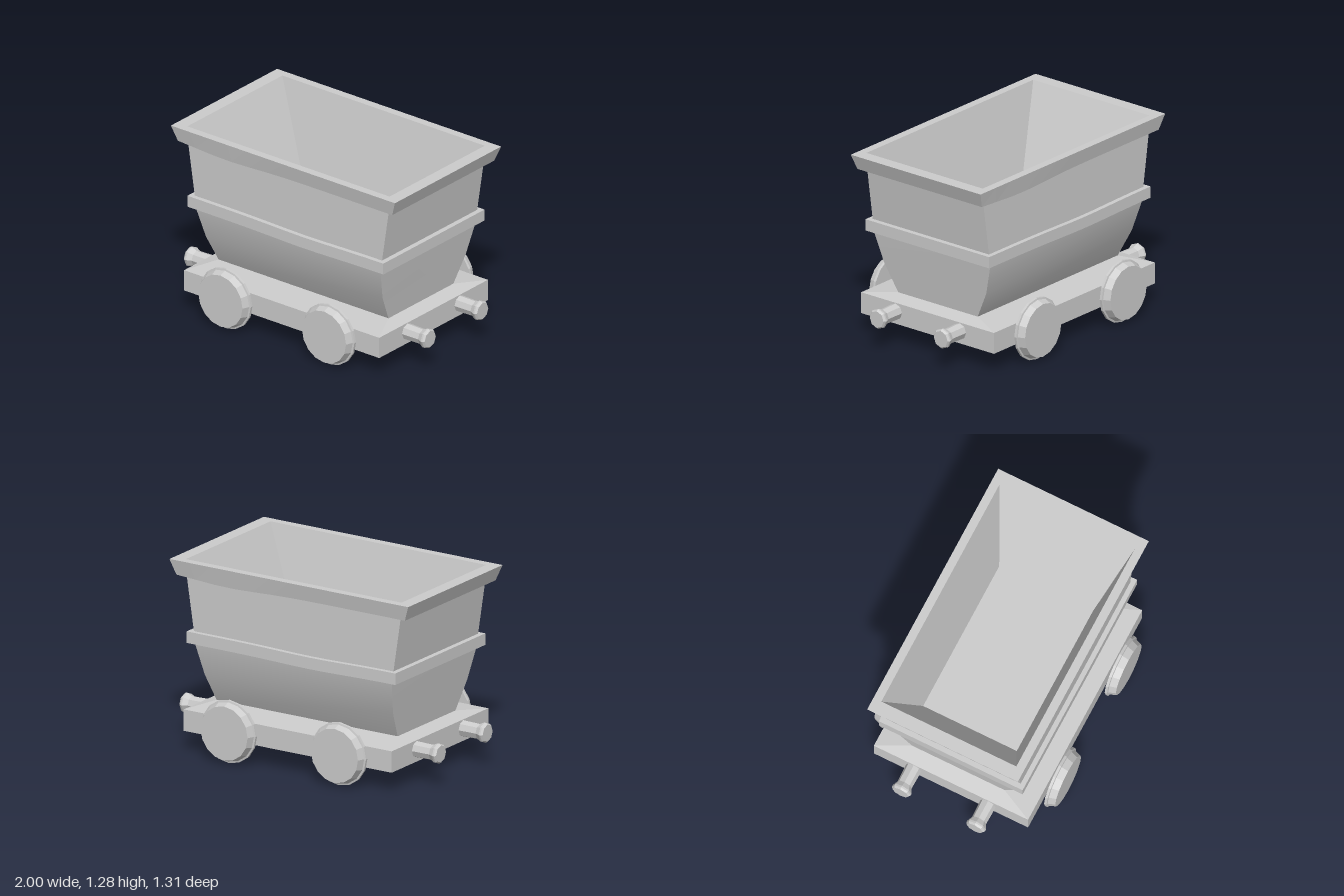
import * as THREE from 'three';
import { mergeGeometries } from 'three/addons/utils/BufferGeometryUtils.js';

const material = new THREE.MeshStandardMaterial({ color: 0xcccccc });
const flatMaterial = new THREE.MeshStandardMaterial({ color: 0xcccccc, flatShading: true });

// Rectangular loft: levels are [y, half width x, half depth z], listed so the
// surface faces outward. wave(x, level) bends the two long sides up and down.
function loft(levels, { wave = () => 0, segments = 1, smooth = false } = {}) {
  const sides = [];
  for (let k = 0; k < 4; k++) {
    const long = k % 2 === 0;
    const n = long ? segments : 1;
    const positions = [], index = [];
    levels.forEach(([y, hx, hz], j) => {
      const along = long ? hx : hz, out = long ? hz : hx;
      for (let i = 0; i <= n; i++) {
        const t = (i / n) * 2 - 1;
        const dy = long ? wave(t * along, j) * (1 - t ** 6) : 0;
        positions.push(t * along, y + dy, out);
      }
    });
    for (let j = 0; j < levels.length - 1; j++) {
      for (let i = 0; i < n; i++) {
        const a = j * (n + 1) + i, b = a + 1, d = a + n + 1, c = d + 1;
        index.push(a, b, c, a, c, d);
      }
    }
    let side = new THREE.BufferGeometry();
    side.setAttribute('position', new THREE.Float32BufferAttribute(positions, 3));
    side.setIndex(index);
    side.rotateY(k * Math.PI / 2);
    if (!smooth) side = side.toNonIndexed();
    side.computeVertexNormals();
    sides.push(side);
  }
  return mergeGeometries(sides);
}

// Solid of revolution around +y from [radius, height] pairs
function turned(profile, sides) {
  return new THREE.LatheGeometry(profile.map(([r, h]) => new THREE.Vector2(r, h)), sides);
}

export function createModel() {
  const model = new THREE.Group();
  const add = (name, geometry, mat = material) => {
    const mesh = new THREE.Mesh(geometry, mat);
    mesh.name = name;
    model.add(mesh);
    return mesh;
  };
  const dip = (x, centre, depth) => -depth * Math.exp(-(((x - centre) / 0.35) ** 2));

  // Chassis with a gently sloping top
  add('chassis', loft([
    [0.14, 0, 0], [0.14, 0.81, 0.56], [0.285, 0.81, 0.56], [0.31, 0.705, 0.335], [0.31, 0, 0],
  ]));

  // Tub: curved lower flanks, upright upper flanks
  add('lowerTub', loft([
    [0.31, 0.705, 0.335], [0.5, 0.733, 0.43], [0.71, 0.765, 0.49], [0.76, 0.771, 0.49],
  ], { smooth: true }));
  add('upperTub', loft([[0.76, 0.771, 0.49], [1.18, 0.835, 0.49]]));

  // Slightly warped belt around the tub
  add('belt', loft([
    [0.725, 0.76, 0.48], [0.725, 0.813, 0.522], [0.803, 0.813, 0.522], [0.803, 0.77, 0.48],
  ], { segments: 12, wave: (x) => dip(x, 0.15, 0.01) }));

  // Flared rim with warped lower edge, continuing into the hollow and its floor
  add('rimAndHollow', loft([
    [1.175, 0.83, 0.48], [1.175, 0.89, 0.525], [1.28, 0.93, 0.547],
    [1.28, 0.84, 0.49], [0.65, 0.54, 0.34], [0.65, 0, 0],
  ], { segments: 12, wave: (x, j) => (j < 2 ? dip(x, -0.5, 0.02) : 0) }));

  // Flanged wheels, flange toward the chassis
  const wheel = turned([[0, 0], [0.212, 0], [0.212, 0.017], [0.2, 0.02], [0.183, 0.067], [0, 0.067]], 16);
  for (const z of [1, -1]) {
    for (const x of [-0.43, 0.43]) {
      const mesh = add('wheel', wheel, flatMaterial);
      mesh.position.set(x, 0.213, z * 0.59);
      mesh.rotation.x = z * Math.PI / 2;
    }
  }

  // Octagonal buffers on both ends
  const buffer = turned([[0.055, 0], [0.052, 0.13], [0.068, 0.165], [0.068, 0.177], [0.058, 0.19], [0, 0.19]], 8);
  for (const x of [1, -1]) {
    for (const z of [-0.27, 0.27]) {
      const mesh = add('buffer', buffer, flatMaterial);
      mesh.position.set(x * 0.81, 0.225, z);
      mesh.rotation.z = -x * Math.PI / 2;
    }
  }
  return model;
}
